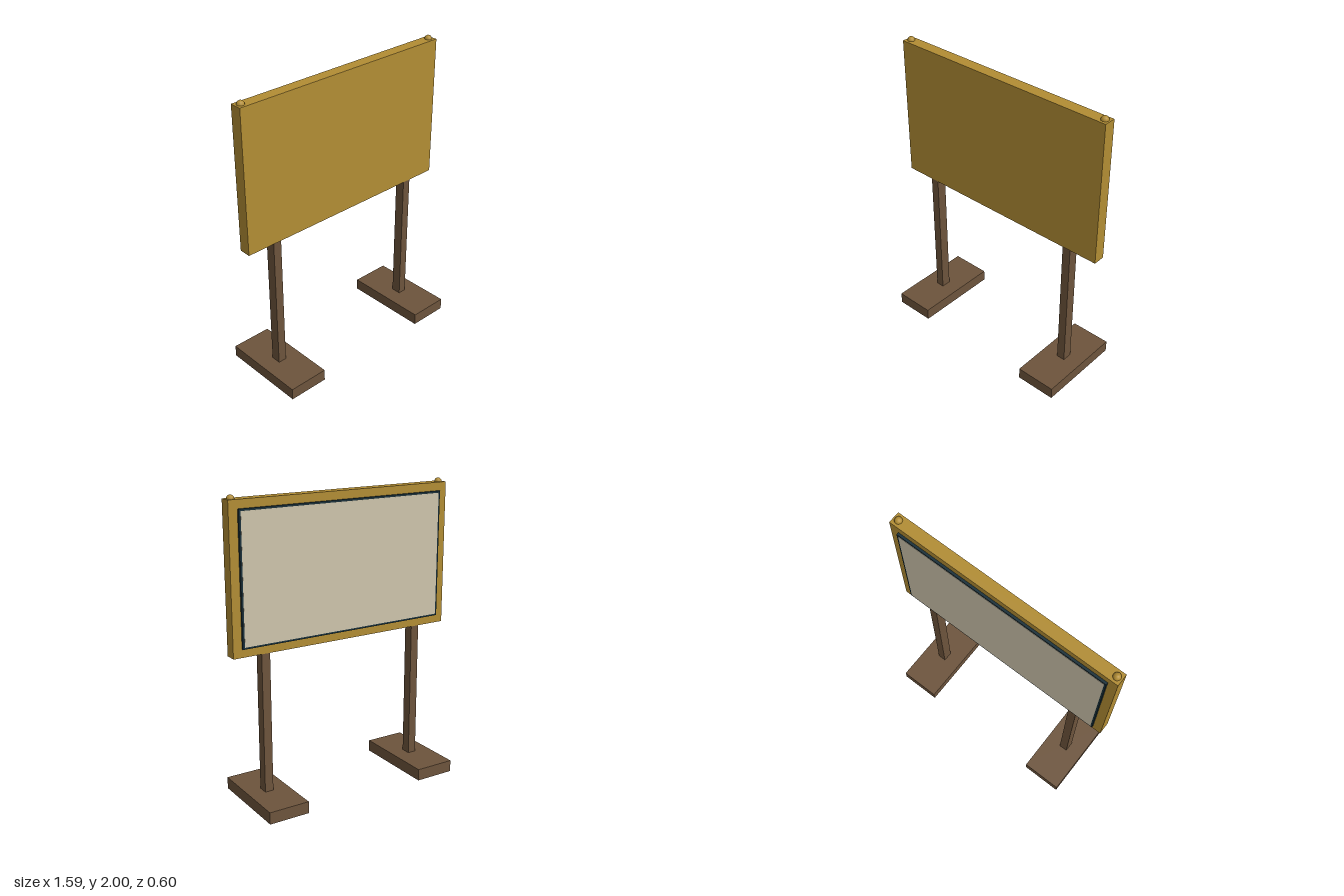
import * as THREE from 'three';

export function createModel() {
  const root = new THREE.Group();
  const material = (name, color) => {
    const m = new THREE.MeshStandardMaterial({ color });
    m.name = name;
    return m;
  };
  const gold = material('ochre gold', 0xb28d34);
  const brown = material('wood brown', 0x6d543c);
  const dark = material('dark teal', 0x18303a);
  const beige = material('pale beige', 0xcec4ac);

  const add = (name, geometry, mat, x, y, z) => {
    const mesh = new THREE.Mesh(geometry, mat);
    mesh.name = name;
    mesh.position.set(x, y, z);
    root.add(mesh);
  };
  const box = (w, h, d) => new THREE.BoxGeometry(w, h, d);

  // Board, with the display panel mounted on its back
  const boardMid = 1.495;
  add('board', box(1.594, 0.96, 0.08), gold, 0, boardMid, 0);
  add('panelBacking', box(1.476, 0.85, 0.016), dark, 0, boardMid, -0.048);
  add('panelFace', box(1.452, 0.826, 0.002), beige, 0, boardMid, -0.0565);

  // Mirrored feet, posts and corner knobs
  for (const [side, s] of [['left', 1], ['right', -1]]) {
    add(side + 'Foot', box(0.277, 0.08, 0.596), brown, s * 0.573, 0.04, 0);
    add(side + 'Post', box(0.058, 0.945, 0.068), brown, s * 0.573, 0.5475, 0);
    add(side + 'Knob', new THREE.SphereGeometry(0.025, 12, 8), gold, s * 0.762, 1.975, 0);
  }
  return root;
}
